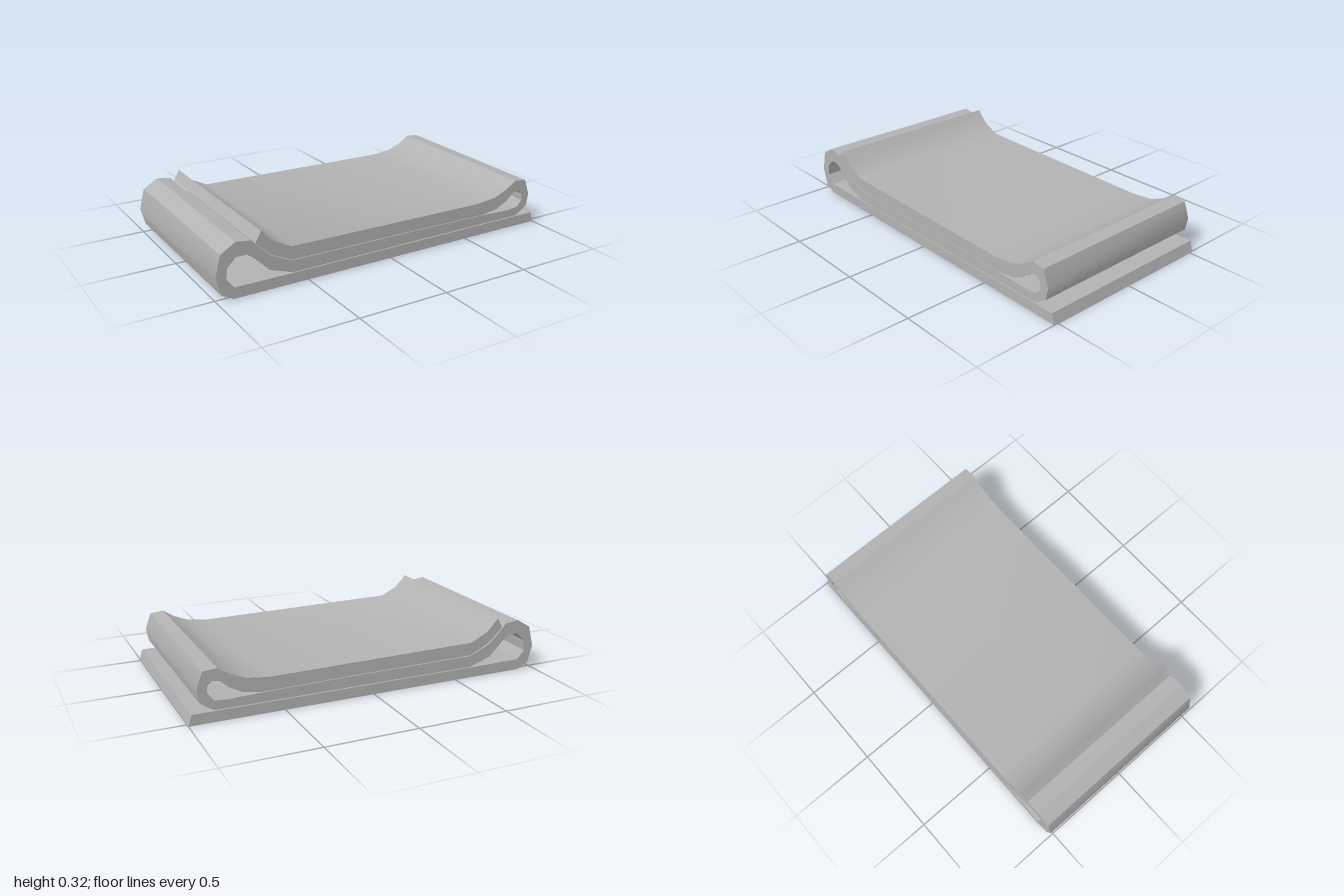
import * as THREE from 'three';
import { toCreasedNormals } from 'three/addons/utils/BufferGeometryUtils.js';

const DEPTH = 1.05;

export function createModel() {
  const model = new THREE.Group();
  model.name = 'foldedSheet';
  const grey = new THREE.MeshStandardMaterial({ color: 0xb2b2b2 });
  grey.name = 'grey';

  // One face of the strip: base underside, outside of left fold,
  // top of middle layer, inside of right fold, underside of top layer
  const firstFace = [
    [1, 0], [-0.91, 0], [-0.975, 0.035], [-1, 0.13], [-0.97, 0.245], [-0.89, 0.293], [-0.81, 0.283],
    [-0.79, 0.258], [-0.71, 0.18], [-0.59, 0.126], [0.2, 0.121], [0.62, 0.114],
    [0.8, 0.108], [0.87, 0.114], [0.903, 0.15], [0.9, 0.19], [0.875, 0.215], [0.835, 0.208],
    [0.79, 0.168], [0.72, 0.132], [0.62, 0.117], [0.2, 0.124], [-0.59, 0.13],
    [-0.705, 0.186], [-0.787, 0.263],
  ];
  // Opposite face, from the free top end back to the base end
  const secondFace = [
    [-0.755, 0.32], [-0.69, 0.25], [-0.59, 0.202], [0.58, 0.19], [0.7, 0.203], [0.78, 0.235],
    [0.845, 0.277], [0.92, 0.27], [0.953, 0.18], [0.94, 0.11], [0.87, 0.063],
    [-0.59, 0.062], [-0.715, 0.105], [-0.8, 0.19], [-0.835, 0.215], [-0.89, 0.215],
    [-0.938, 0.17], [-0.945, 0.11], [-0.905, 0.06], [-0.59, 0.058], [0.983, 0.058],
  ];

  const outline = [...firstFace, ...secondFace].map(([x, y]) => new THREE.Vector2(x, y));
  const strip = new THREE.ExtrudeGeometry(new THREE.Shape(outline), { depth: DEPTH, bevelEnabled: false });
  strip.translate(0, 0, -DEPTH / 2);

  // Smooth the gentle bends and keep the tight folds sharp
  const sheet = new THREE.Mesh(toCreasedNormals(strip, THREE.MathUtils.degToRad(33)), grey);
  sheet.name = 'sheet';
  model.add(sheet);
  return model;
}
